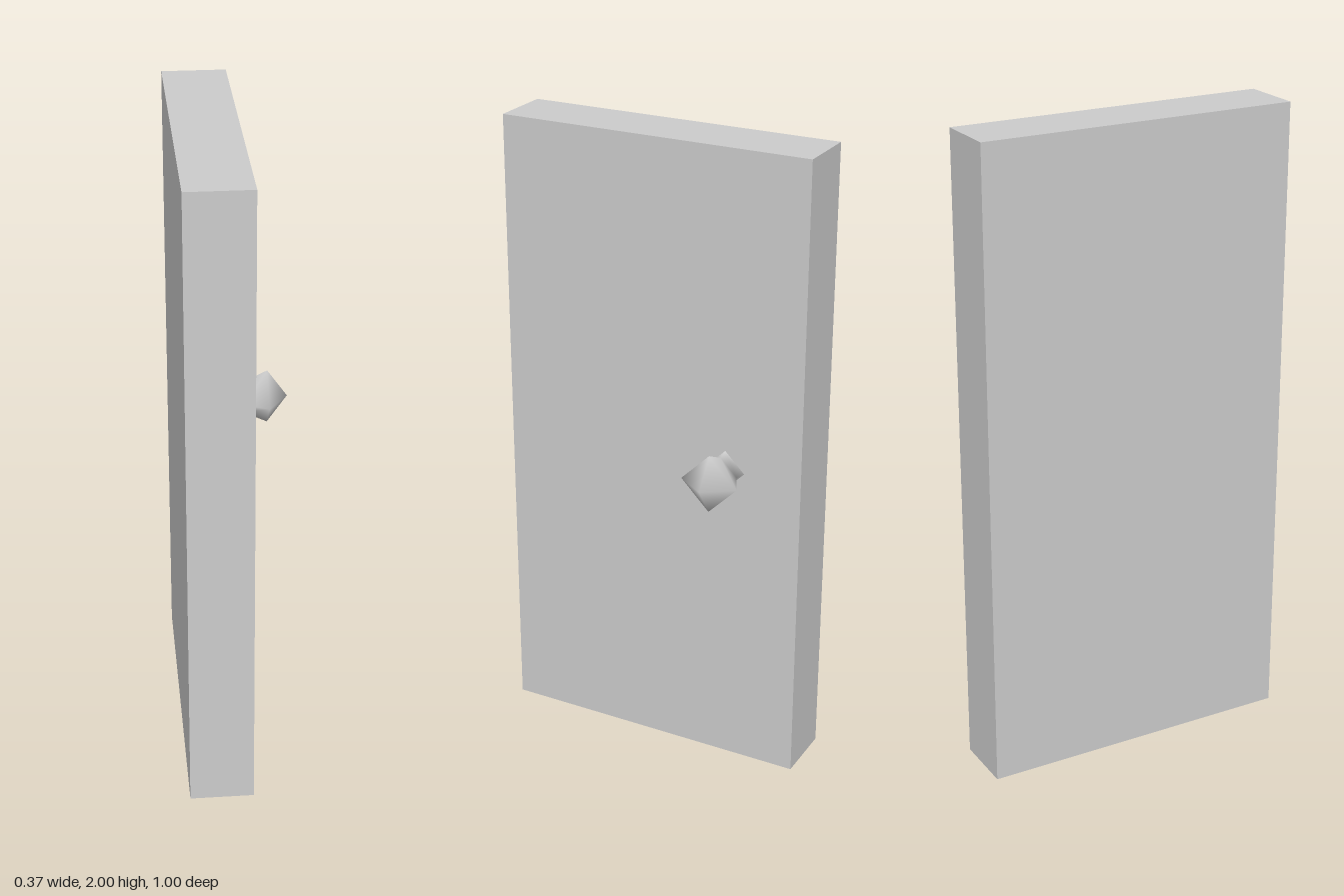
import * as THREE from 'three';
import { mergeVertices } from 'three/addons/utils/BufferGeometryUtils.js';

export function createModel() {
  const model = new THREE.Group();
  model.name = 'door';

  const grey = new THREE.MeshStandardMaterial({ color: 0xcccccc });
  grey.name = 'light grey';

  // Door slab
  const slab = new THREE.Mesh(new THREE.BoxGeometry(0.197, 2, 1), grey);
  slab.name = 'doorSlab';
  slab.position.set(-0.0875, 1, 0);
  model.add(slab);

  // Four-sided knob: flared base, narrow neck, wide head, pointed tip
  const profile = [
    [0.064, 0], [0.054, 0.031], [0.092, 0.109], [0, 0.173],
  ].map(([r, y]) => new THREE.Vector2(r, y));
  let knobGeometry = new THREE.LatheGeometry(profile, 4);

  // Share corners so the shading runs smoothly around the knob
  knobGeometry.deleteAttribute('normal');
  knobGeometry.deleteAttribute('uv');
  knobGeometry = mergeVertices(knobGeometry, 1e-4);
  knobGeometry.computeVertexNormals();

  const knob = new THREE.Mesh(knobGeometry, grey);
  knob.name = 'doorKnob';
  knob.rotation.z = -Math.PI / 2;
  knob.position.set(0.011, 1, -0.25);
  model.add(knob);

  return model;
}
